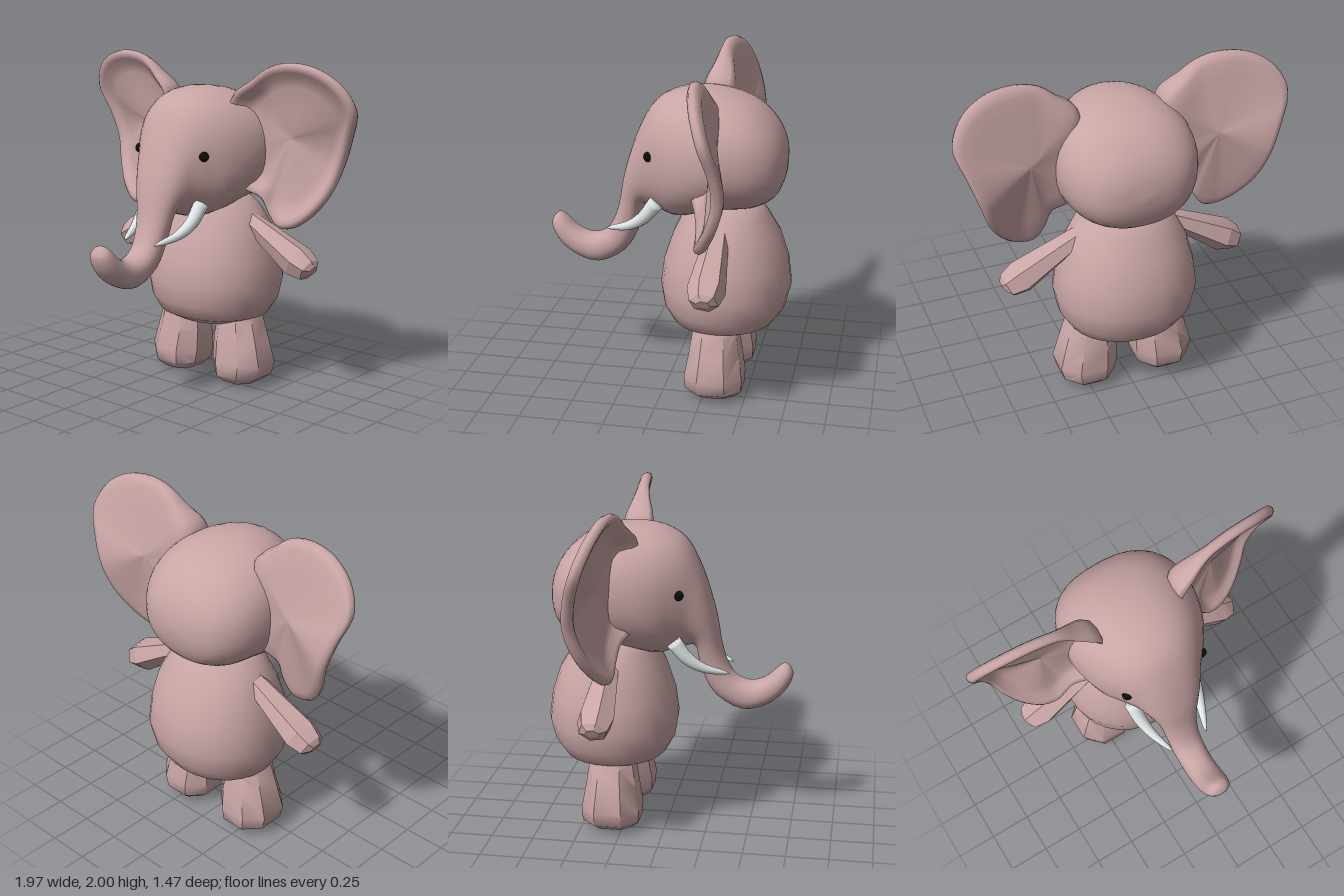
import * as THREE from 'three';
import { toCreasedNormals } from 'three/addons/utils/BufferGeometryUtils.js';

const V = (x, y, z) => new THREE.Vector3(x, y, z);
const skin = new THREE.MeshStandardMaterial({ color: 0xc9a5a5 });
const ivory = new THREE.MeshStandardMaterial({ color: 0xdfe6e6 });
const black = new THREE.MeshStandardMaterial({ color: 0x0c0c0c });

// Closed skin over a list of rings, capped at both ends, always facing outward.
function loft(rings) {
  const n = rings[0].length;
  const pts = rings.flat();
  const idx = [];
  for (let r = 0; r < rings.length - 1; r++) {
    for (let i = 0; i < n; i++) {
      const a = r * n + i, b = r * n + (i + 1) % n;
      idx.push(a, b, b + n, a, b + n, a + n);
    }
  }
  const last = (rings.length - 1) * n;
  const mean = ring => ring.reduce((s, p) => s.add(p), V(0, 0, 0)).divideScalar(n);
  const start = pts.push(mean(rings[0])) - 1;
  const end = pts.push(mean(rings.at(-1))) - 1;
  for (let i = 0; i < n; i++) {
    const j = (i + 1) % n;
    idx.push(start, j, i, end, last + i, last + j);
  }
  let volume = 0;
  for (let i = 0; i < idx.length; i += 3) {
    volume += pts[idx[i]].dot(V(0, 0, 0).crossVectors(pts[idx[i + 1]], pts[idx[i + 2]]));
  }
  if (volume < 0) idx.reverse();
  const g = new THREE.BufferGeometry().setFromPoints(pts);
  g.setIndex(idx);
  g.computeVertexNormals();
  return g;
}

// Ellipse around a centre, spanned by two half-axis vectors; power < 1 makes it boxier.
function ellipse(c, a, b, n, power = 1, phase = 0) {
  const soft = t => Math.sign(t) * Math.abs(t) ** power;
  return Array.from({ length: n }, (_, i) => {
    const t = (i / n) * Math.PI * 2 + phase;
    return c.clone().addScaledVector(a, soft(Math.cos(t))).addScaledVector(b, soft(Math.sin(t)));
  });
}

function mesh(name, geometry, material = skin) {
  const m = new THREE.Mesh(geometry, material);
  m.name = name;
  return m;
}

// Pear-shaped body: y, centre z, half width, half depth
function body() {
  const rows = [
    [0.37, -0.33, 0.1, 0.1], [0.385, -0.33, 0.24, 0.22], [0.43, -0.33, 0.345, 0.31],
    [0.52, -0.335, 0.4, 0.365], [0.65, -0.34, 0.425, 0.39], [0.8, -0.34, 0.405, 0.37],
    [0.95, -0.34, 0.365, 0.32], [1.08, -0.33, 0.3, 0.25], [1.17, -0.32, 0.2, 0.2],
  ];
  return mesh('body', loft(rows.map(([y, z, w, d]) => ellipse(V(0, y, z), V(w, 0, 0), V(0, 0, d), 28, 0.95))));
}

// Head and trunk in one sweep: upper z, y, lower z, y, half width
function head() {
  const rows = [
    [-0.69, 1.43, -0.69, 1.39, 0.03], [-0.67, 1.54, -0.67, 1.29, 0.18], [-0.61, 1.65, -0.62, 1.2, 0.29],
    [-0.5, 1.75, -0.5, 1.14, 0.375], [-0.35, 1.81, -0.33, 1.12, 0.41], [-0.2, 1.83, -0.17, 1.08, 0.395],
    [-0.04, 1.81, -0.05, 1.06, 0.345], [0.08, 1.745, 0.03, 1.08, 0.275], [0.165, 1.615, 0.1, 1.1, 0.21],
    [0.245, 1.4, 0.15, 1.11, 0.165], [0.285, 1.25, 0.165, 1.08, 0.135], [0.31, 1.11, 0.175, 1.02, 0.115],
    [0.35, 0.99, 0.205, 0.92, 0.1], [0.4, 0.92, 0.28, 0.8, 0.095], [0.48, 0.89, 0.44, 0.715, 0.09],
    [0.55, 0.905, 0.58, 0.75, 0.09], [0.6, 0.94, 0.69, 0.84, 0.085], [0.635, 0.975, 0.735, 0.94, 0.07],
    [0.665, 1.0, 0.72, 0.985, 0.045], [0.69, 1.01, 0.7, 1.005, 0.01],
  ];
  const upper = new THREE.CatmullRomCurve3(rows.map(r => V(0, r[1], r[0])));
  const lower = new THREE.CatmullRomCurve3(rows.map(r => V(r[4], r[3], r[2])));
  const rings = [];
  for (let i = 0; i <= 57; i++) {
    const a = upper.getPoint(i / 57), b = lower.getPoint(i / 57);
    const w = b.x;
    b.x = 0;
    const c = a.clone().add(b).multiplyScalar(0.5);
    rings.push(ellipse(c, V(w, 0, 0), a.sub(c), 36, 0.9));
  }
  return mesh('headAndTrunk', loft(rings));
}

// Dished ear: the outline shrinks toward the centre on both faces, with a rolled rim
function ear(s) {
  const outline = new THREE.CatmullRomCurve3([
    V(0.24, 1.78, -0.23), V(0.36, 1.885, -0.24), V(0.47, 1.965, -0.24), V(0.62, 1.995, -0.25),
    V(0.78, 1.97, -0.27), V(0.92, 1.88, -0.31), V(0.985, 1.74, -0.36), V(0.93, 1.57, -0.41),
    V(0.87, 1.4, -0.425), V(0.81, 1.23, -0.38), V(0.72, 1.1, -0.32), V(0.62, 1.03, -0.28),
    V(0.53, 1.025, -0.27), V(0.465, 1.1, -0.27), V(0.42, 1.19, -0.26), V(0.3, 1.25, -0.25),
    V(0.25, 1.5, -0.23),
  ], true).getPoints(72).slice(0, 72);
  const centre = V(0.56, 1.55, -0.34);
  // scale, offset in z
  const profile = [
    [0.05, -0.035], [0.4, -0.035], [0.7, -0.035], [0.88, -0.035], [0.97, -0.025], [1, 0],
    [0.985, 0.025], [0.94, 0.038], [0.88, 0.03], [0.8, 0.005], [0.68, -0.005], [0.4, 0.005], [0.05, 0.01],
  ];
  const rings = profile.map(([k, dz]) => outline.map(p => {
    const q = centre.clone().lerp(p, k);
    const root = 1 - THREE.MathUtils.smoothstep(q.x, 0.26, 0.5);
    q.z += dz * (1 + 1.4 * root);
    q.x *= s;
    return q;
  }));
  return mesh('ear', loft(rings));
}

// Faceted arm: centre x, y, half height, half depth
function arm(s) {
  const rows = [
    [0.2, 1.06, 0.05, 0.06], [0.33, 0.995, 0.06, 0.075], [0.63, 0.825, 0.1, 0.11],
    [0.71, 0.785, 0.075, 0.085], [0.74, 0.785, 0.03, 0.04],
  ];
  const rings = rows.map(([x, y, h, d]) =>
    ellipse(V(s * x, y, -0.325), V(s * 0.45 * h, 0.89 * h, 0), V(0, 0, d), 6, 1, 0.3));
  return mesh('arm', toCreasedNormals(loft(rings), 0.3));
}

// Stubby leg: y, centre x, half width, half depth
function leg(s) {
  const rows = [
    [0.46, 0.215, 0.12, 0.12], [0.41, 0.217, 0.14, 0.14], [0.28, 0.225, 0.17, 0.16],
    [0.14, 0.243, 0.19, 0.185], [0.06, 0.24, 0.17, 0.18], [0.015, 0.235, 0.11, 0.13], [0, 0.235, 0.03, 0.04],
  ];
  const rings = rows.map(([y, x, w, d]) =>
    ellipse(V(s * x, y, -0.315), V(s * w, 0, 0), V(0, 0, d), 8, 0.85, Math.PI / 8));
  return mesh('leg', toCreasedNormals(loft(rings), 0.75));
}

// Curved tapering tusk
function tusk(s) {
  const path = new THREE.CatmullRomCurve3([
    V(0.2, 1.17, 0.05), V(0.192, 1.07, 0.13), V(0.17, 1.01, 0.22), V(0.115, 0.965, 0.37),
  ]);
  const rings = [];
  for (let i = 0; i <= 14; i++) {
    const t = i / 14;
    const c = path.getPoint(t), tan = path.getTangent(t);
    const side = V(0, 1, 0).cross(tan).normalize();
    const up = tan.clone().cross(side);
    const r = 0.046 * Math.sqrt(1 - t) + 0.001;
    const ring = ellipse(c, side.multiplyScalar(r), up.multiplyScalar(r), 12);
    ring.forEach(p => { p.x *= s; });
    rings.push(ring);
  }
  return mesh('tusk', loft(rings), ivory);
}

function eye(s) {
  const m = mesh('eye', new THREE.SphereGeometry(0.03, 14, 10), black);
  m.position.set(s * 0.245, 1.46, 0.083);
  return m;
}

export function createModel() {
  const model = new THREE.Group();
  model.name = 'elephant';
  model.add(body(), head());
  for (const s of [1, -1]) {
    for (const part of [ear, arm, leg, tusk, eye]) {
      const m = part(s);
      m.name = (s > 0 ? 'left ' : 'right ') + m.name;
      model.add(m);
    }
  }
  return model;
}
